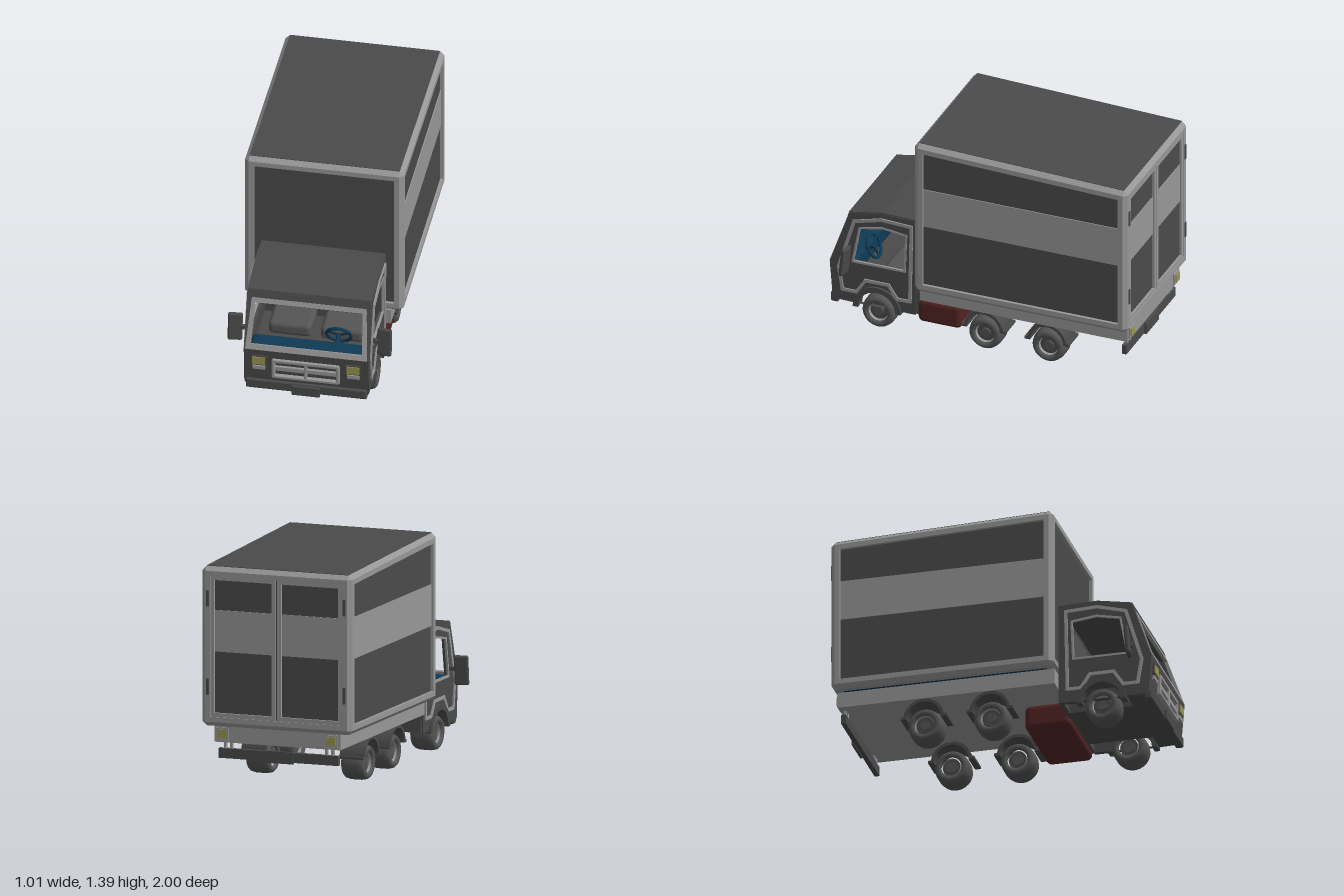
import * as THREE from 'three';
import { RoundedBoxGeometry } from 'three/addons/geometries/RoundedBoxGeometry.js';
import { ConvexGeometry } from 'three/addons/geometries/ConvexGeometry.js';

const V = (x, y, z) => new THREE.Vector3(x, y, z);
const mat = (name, color) => Object.assign(new THREE.MeshStandardMaterial({ color }), { name });
const dark = mat('dark grey', 0x4a4a4a);
const light = mat('light grey', 0x979797);
const rubber = mat('tyre grey', 0x555555);
const navy = mat('navy', 0x0f3a54);
const red = mat('dark red', 0x522323);
const yellow = mat('lamp yellow', 0x9a9550);

export function createModel() {
  const root = new THREE.Group();
  root.name = 'boxTruck';
  const add = (name, geo, m, parent = root) => {
    const mesh = new THREE.Mesh(geo, m);
    mesh.name = name;
    parent.add(mesh);
    return mesh;
  };
  const group = (name) => {
    const g = new THREE.Group();
    g.name = name;
    root.add(g);
    return g;
  };
  // box given by its limits, optionally rounded
  const box = (name, x0, x1, y0, y1, z0, z1, m, parent, r = 0) => {
    const s = [x1 - x0, y1 - y0, z1 - z0];
    const geo = r ? new RoundedBoxGeometry(...s, 3, r) : new THREE.BoxGeometry(...s);
    geo.translate((x0 + x1) / 2, (y0 + y1) / 2, (z0 + z1) / 2);
    return add(name, geo, m, parent);
  };
  // convex panel: (z, y) profile spanning the width
  const span = (name, w, profile, m, parent) =>
    add(name, new ConvexGeometry(profile.flatMap(([z, y]) => [V(-w, y, z), V(w, y, z)])), m, parent);
  const poly = (pts, T = THREE.Shape) => new T(pts.map((p) => new THREE.Vector2(...p)));
  // extrude a (z, y) shape sideways from x0 to x1
  const sideways = (shape, x0, x1) => {
    const g = new THREE.ExtrudeGeometry(shape, { depth: x1 - x0, bevelEnabled: false, curveSegments: 20 });
    return g.rotateY(-Math.PI / 2).translate(x1, 0, 0);
  };
  // closed strip of short bars following (z, y) points
  const trim = (name, pts, x, w, parent) => pts.forEach(([z, y], i) => {
    const [z2, y2] = pts[(i + 1) % pts.length];
    const geo = new THREE.BoxGeometry(0.014, w, Math.hypot(z2 - z, y2 - y) + w * 0.7);
    const bar = add(name, geo, light, parent);
    bar.position.set(x, (y + y2) / 2, (z + z2) / 2);
    bar.rotation.x = -Math.atan2(y2 - y, z2 - z);
  });

  // ---- cargo box: chamfered frame, recessed panels, roof falling to the rear
  const cargo = group('cargoBox');
  const lo = [-0.488, 0.367, -0.995], hi = [0.488, 1.392, 0.395], c = 0.026, t = 0.058;
  const slope = (p) => {
    if (p.y > 1.2) p.y -= 0.047 * (0.395 - p.z) / 1.39;
    return p;
  };
  const at = (axis, side, inset) => (side ? hi[axis] - inset : lo[axis] + inset);
  const hull = (name, pts, m) => add(name, new ConvexGeometry(pts.map((p) => slope(V(...p)))), m, cargo);
  const block = (name, x0, x1, y0, y1, z0, z1, m) => {
    const pts = [];
    for (const x of [x0, x1]) for (const y of [y0, y1]) for (const z of [z0, z1]) pts.push([x, y, z]);
    hull(name, pts, m);
  };
  for (let axis = 0; axis < 3; axis++) {
    const a = (axis + 1) % 3, b = (axis + 2) % 3;
    for (const sa of [0, 1]) for (const sb of [0, 1]) {
      const pts = [];
      for (const end of [0, 1]) for (const [u, v] of [[0, c], [c, 0], [t, 0], [t, t], [0, t]]) {
        const p = [];
        p[axis] = at(axis, end, c);
        p[a] = at(a, sa, u);
        p[b] = at(b, sb, v);
        pts.push(p);
      }
      hull('frameBar', pts, light);
    }
  }
  for (const i of [0, 1]) for (const j of [0, 1]) for (const k of [0, 1])
    hull('frameCorner', [[0, c, c], [c, 0, c], [c, c, 0], [c, c, c]].map(([u, v, w]) =>
      [at(0, i, u), at(1, j, v), at(2, k, w)]), light);
  block('cargoPanels', -0.468, 0.468, 0.392, 1.372, -0.975, 0.375, dark);
  block('roofPanel', -0.461, 0.461, 1.38, 1.395, -0.968, 0.368, dark);
  block('cargoFloor', -0.43, 0.43, 0.378, 0.392, -0.94, 0.34, navy);
  for (const s of [-1, 1]) {
    box('sideStripe', s * 0.47 - 0.004, s * 0.47 + 0.004, 0.825, 1.08, -0.937, 0.337, light, cargo);
    // rear doors with frame, stripe and hinges
    const x0 = s > 0 ? 0.006 : -0.43, x1 = x0 + 0.424;
    box('doorStripe', x0, x1, 0.825, 1.08, -0.98, -0.972, light, cargo);
    box('doorFrameSide', x0, x0 + 0.026, 0.425, 1.29, -0.99, -0.97, light, cargo);
    box('doorFrameSide', x1 - 0.026, x1, 0.425, 1.29, -0.99, -0.97, light, cargo);
    box('doorFrameBottom', x0, x1, 0.425, 0.45, -0.99, -0.97, light, cargo);
    box('doorFrameTop', x0, x1, 1.265, 1.29, -0.99, -0.97, light, cargo);
    for (const y of [0.56, 1.1])
      box('doorHinge', s * 0.445 - 0.008, s * 0.445 + 0.008, y, y + 0.1, -1, -0.98, dark, cargo);
  }

  // ---- chassis, tank, rear bumper
  const chassis = group('chassis');
  box('chassisBody', -0.41, 0.41, 0.27, 0.368, -0.97, 0.385, light, chassis);
  box('fuelTank', -0.17, 0.385, 0.1, 0.26, 0.13, 0.415, red, chassis, 0.035);
  box('rearBumper', -0.39, 0.39, 0.17, 0.23, -0.955, -0.925, dark, chassis);
  box('rearPlate', -0.1, 0.1, 0.162, 0.235, -0.967, -0.95, dark, chassis);
  for (const s of [-1, 1]) {
    for (const x of [0.31, 0.35])
      box('bumperHanger', s * x - 0.008, s * x + 0.008, 0.22, 0.28, -0.95, -0.93, light, chassis);
    box('tailLampFrame', s * 0.355 - 0.04, s * 0.355 + 0.04, 0.285, 0.36, -0.98, -0.965, light, chassis);
    box('tailLamp', s * 0.355 - 0.028, s * 0.355 + 0.028, 0.298, 0.348, -0.986, -0.978, yellow, chassis);
  }

  // ---- wheels and mudguards
  const tyreProfile = [[0.062, -0.06], [0.07, -0.075], [0.09, -0.075], [0.102, -0.062], [0.108, -0.035],
    [0.108, 0.035], [0.102, 0.062], [0.09, 0.075], [0.07, 0.075], [0.062, 0.06]];
  const tyreGeo = new THREE.LatheGeometry(tyreProfile.map((p) => new THREE.Vector2(...p)), 32);
  const rimGeo = new THREE.CylinderGeometry(0.063, 0.056, 0.12, 32, 1, true);
  const hubGeo = new THREE.CylinderGeometry(0.057, 0.057, 0.09, 32);
  const capGeo = new THREE.CylinderGeometry(0.03, 0.036, 0.112, 20);
  const rimMat = light.clone();
  rimMat.name = 'rim grey';
  rimMat.side = THREE.DoubleSide;
  const arch = (z, y, ro, ri) => {
    const s = new THREE.Shape();
    s.absarc(z, y, ro, 0, Math.PI, false);
    s.absarc(z, y, ri, Math.PI, 0, true);
    return s;
  };
  for (const s of [-1, 1]) for (const z of [0.673, -0.024, -0.437]) {
    const wheel = group('wheel');
    add('tyre', tyreGeo, rubber, wheel);
    add('rim', rimGeo, rimMat, wheel);
    add('hub', hubGeo, dark, wheel);
    add('hubCap', capGeo, rubber, wheel);
    wheel.rotation.z = -s * Math.PI / 2;
    wheel.position.set(s * 0.31, 0.108, z);
    const front = z > 0.5;
    const [i, o] = front ? [0.33, 0.398] : [0.24, 0.4];
    const shape = front ? arch(z, 0.128, 0.156, 0.122) : arch(z, 0.145, 0.127, 0.108);
    add('mudguard', sideways(shape, s > 0 ? i : -o, s > 0 ? o : -i), dark);
    if (!front) for (const e of [-1, 1]) {
      const zc = z + e * 0.13;
      box('mudguardLip', s > 0 ? i : -o, s > 0 ? o : -i, 0.145, 0.162, zc - 0.014, zc + 0.014, dark);
    }
  }

  // ---- cab shell
  const cab = group('cab');
  const windowPts = [[0.79, 0.67], [0.64, 0.7], [0.485, 0.68], [0.495, 0.43], [0.835, 0.43]];
  const doorPts = [[0.9, 0.225], [0.925, 0.38], [0.825, 0.71], [0.645, 0.757], [0.45, 0.748],
    [0.46, 0.23], [0.545, 0.23], [0.6, 0.315], [0.75, 0.315], [0.81, 0.225]];
  const side = new THREE.Shape();
  side.moveTo(0.965, 0.15);
  for (const p of [[0.985, 0.4], [0.86, 0.76], [0.645, 0.795], [0.4, 0.79], [0.425, 0.145], [0.53, 0.145]])
    side.lineTo(...p);
  side.absarc(0.673, 0.145, 0.135, Math.PI * 2, Math.PI, false);
  // arch cut replaced by an explicit run over the wheel
  side.curves.pop();
  for (let i = 0; i <= 12; i++) {
    const a = Math.PI * i / 12;
    side.lineTo(0.673 - 0.143 * Math.cos(a), 0.145 + 0.135 * Math.sin(a));
  }
  side.closePath();
  side.holes.push(poly(windowPts, THREE.Path));
  for (const s of [-1, 1]) {
    add('cabSide', sideways(side, s > 0 ? 0.355 : -0.383, s > 0 ? 0.383 : -0.355), dark, cab);
    trim('doorTrim', doorPts, s * 0.385, 0.02, cab);
    trim('windowTrim', windowPts, s * 0.38, 0.013, cab);
    // mirrors
    box('mirrorArm', s * 0.405 - 0.03, s * 0.405 + 0.03, 0.46, 0.485, 0.85, 0.87, dark, cab);
    const mirror = add('mirror', new RoundedBoxGeometry(0.09, 0.185, 0.028, 2, 0.012), dark, cab);
    mirror.position.set(s * 0.459, 0.468, 0.855);
    mirror.rotation.set(-0.1, -s * 0.15, 0);
  }
  span('roof', 0.378, [[0.862, 0.765], [0.645, 0.803], [0.4, 0.796], [0.84, 0.735], [0.4, 0.76]], dark, cab);
  span('windscreenHeader', 0.375, [[0.88, 0.7], [0.862, 0.765], [0.84, 0.7], [0.825, 0.76]], dark, cab);
  span('frontPanel', 0.38, [[0.965, 0.145], [0.985, 0.41], [0.94, 0.145], [0.95, 0.41]], dark, cab);
  box('cabRearWall', -0.375, 0.375, 0.15, 0.78, 0.402, 0.43, dark, cab);
  box('cabFloor', -0.36, 0.36, 0.285, 0.3, 0.42, 0.95, dark, cab);
  box('cabUnderside', -0.23, 0.23, 0.145, 0.29, 0.42, 0.95, dark, cab);
  box('cabFrontSill', -0.37, 0.37, 0.145, 0.17, 0.83, 0.96, dark, cab);
  // windscreen surround
  const screen = poly([[-0.375, 0], [0.375, 0], [0.352, 0.328], [-0.352, 0.328]]);
  screen.holes.push(poly([[-0.342, 0.034], [-0.33, 0.298], [0.33, 0.298], [0.342, 0.034]], THREE.Path));
  const surround = add('windscreenFrame',
    new THREE.ExtrudeGeometry(screen, { depth: 0.02, bevelEnabled: false }), light, cab);
  surround.rotation.x = -0.334;
  surround.position.set(0, 0.398, 0.97);

  // ---- grille, lamps, front bumper
  const nose = group('nose');
  box('grilleFrameTop', -0.208, 0.204, 0.325, 0.348, 0.965, 0.997, light, nose, 0.006);
  box('grilleFrameBottom', -0.208, 0.204, 0.213, 0.233, 0.955, 0.997, light, nose, 0.006);
  box('grilleMiddleBar', -0.2, 0.2, 0.264, 0.298, 0.96, 0.99, light, nose, 0.006);
  for (const x of [-0.2, -0.002, 0.196])
    box('grilleUpright', x - 0.01, x + 0.01, 0.215, 0.346, 0.96, 0.996, light, nose, 0.006);
  for (const s of [-1, 1]) {
    box('headlampFrame', s * 0.29 - 0.048, s * 0.29 + 0.048, 0.295, 0.362, 0.965, 0.99, dark, nose);
    box('headlamp', s * 0.29 - 0.039, s * 0.29 + 0.039, 0.304, 0.354, 0.988, 0.996, yellow, nose);
    box('markerLamp', s * 0.29 - 0.038, s * 0.29 + 0.038, 0.264, 0.288, 0.965, 0.99, light, nose);
  }
  box('frontBumper', -0.372, 0.372, 0.117, 0.18, 0.935, 0.985, dark, nose, 0.01);
  box('frontPlate', -0.086, 0.086, 0.108, 0.168, 0.98, 1, dark, nose);

  // ---- interior
  const interior = group('interior');
  for (const x of [-0.16, 0.16]) {
    box('seatBack', x - 0.132, x + 0.132, 0.34, 0.645, 0.43, 0.487, rubber, interior, 0.027);
    box('seatCushion', x - 0.132, x + 0.132, 0.3, 0.39, 0.44, 0.67, rubber, interior, 0.03);
  }
  box('dashboard', -0.353, 0.353, 0.3, 0.42, 0.83, 0.95, navy, interior, 0.025);
  const steering = new THREE.Group();
  steering.name = 'steeringWheel';
  add('steeringRim', new THREE.TorusGeometry(0.075, 0.01, 8, 28), navy, steering);
  for (let i = 0; i < 3; i++) {
    const a = Math.PI / 6 + i * Math.PI * 2 / 3;
    const spoke = add('steeringSpoke', new THREE.BoxGeometry(0.075, 0.014, 0.01), navy, steering);
    spoke.position.set(Math.cos(a) * 0.037, Math.sin(a) * 0.037, 0);
    spoke.rotation.z = a;
  }
  const column = add('steeringColumn', new THREE.CylinderGeometry(0.014, 0.014, 0.1, 12), navy, steering);
  column.rotation.x = Math.PI / 2;
  column.position.z = 0.05;
  steering.rotation.x = 0.46;
  steering.position.set(0.165, 0.435, 0.785);
  interior.add(steering);
  return root;
}
